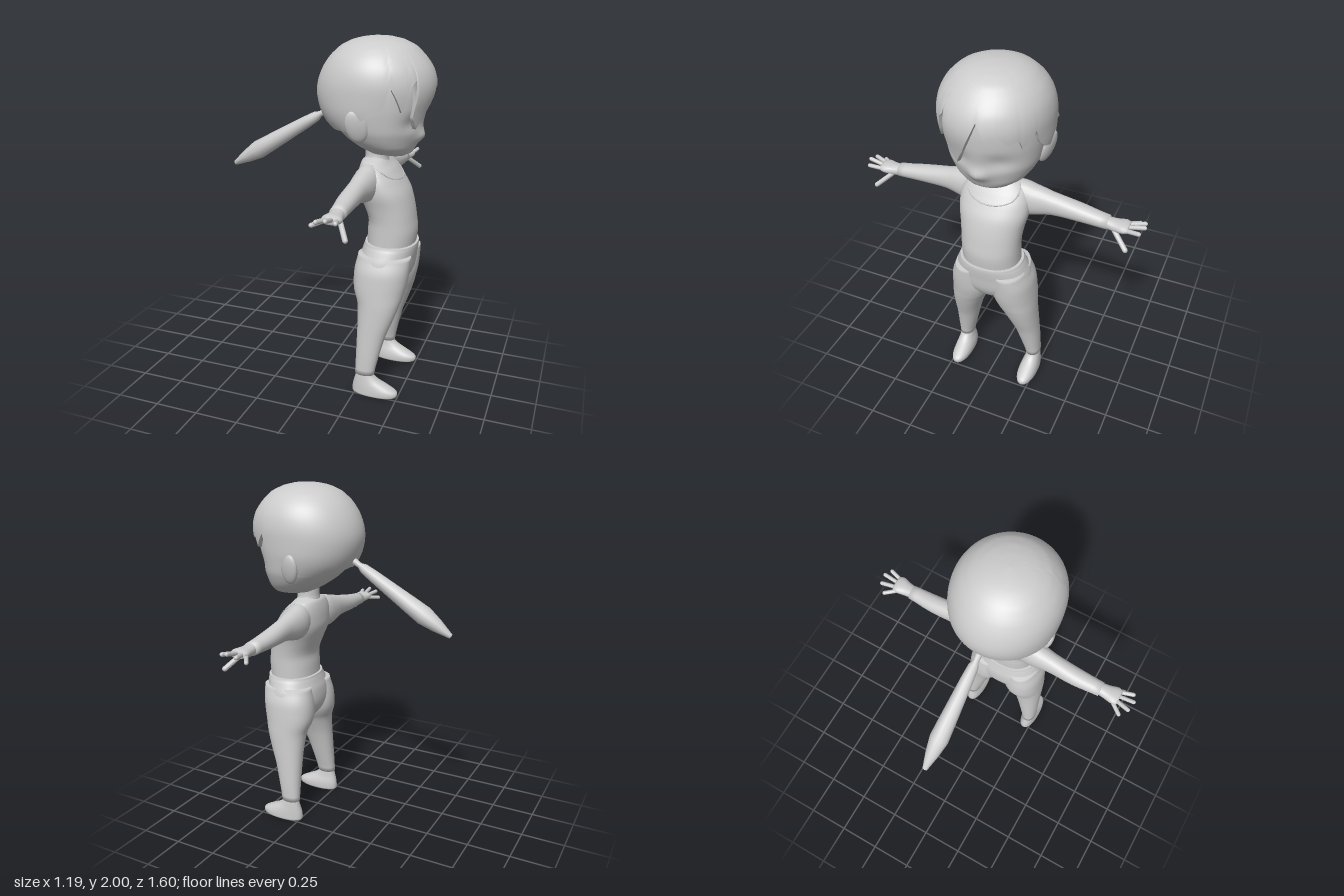
import * as THREE from 'three';

const mat = new THREE.MeshStandardMaterial({ color: 0xcccccc, side: THREE.DoubleSide });

function add(parent, name, geometry) {
  const mesh = new THREE.Mesh(geometry, mat);
  mesh.name = name;
  parent.add(mesh);
  return mesh;
}

// Sections are rows [y, x0, x1, z0, z1]; sym() makes them symmetric in z.
const sym = rows => rows.map(([y, x0, x1, w]) => [y, x0, x1, -w, w]);

// Catmull-Rom value between b and c.
function spline(a, b, c, d, t) {
  const cubic = 3 * (b - c) + d - a;
  const square = 2 * a - 5 * b + 4 * c - d;
  return b + 0.5 * t * (c - a + t * (square + t * cubic));
}

// Smooth subdivision of the section rows.
function refine(rows, steps = 4) {
  const out = [], last = rows.length - 1;
  for (let i = 0; i < last; i++) {
    const a = rows[Math.max(i - 1, 0)], b = rows[i], c = rows[i + 1], d = rows[Math.min(i + 2, last)];
    for (let s = 0; s < steps; s++) {
      const t = s / steps;
      out.push(b.map((v, k) => (k ? spline(a[k], v, c[k], d[k], t) : v + (c[0] - v) * t)));
    }
  }
  out.push(rows[last]);
  return out;
}

// Point on a section at angle a (0 = +x), slightly squared by the power p.
function onSection([y, x0, x1, z0, z1], a, p = 2) {
  const f = v => Math.sign(v) * Math.pow(Math.abs(v), 2 / p);
  return new THREE.Vector3(
    (x0 + x1) / 2 + (x1 - x0) / 2 * f(Math.cos(a)), y,
    (z0 + z1) / 2 + (z1 - z0) / 2 * f(Math.sin(a)));
}

function sectionAt(rows, y) {
  let i = 0;
  while (i < rows.length - 2 && rows[i + 1][0] < y) i++;
  const t = THREE.MathUtils.clamp((y - rows[i][0]) / (rows[i + 1][0] - rows[i][0]), 0, 1);
  return rows[i].map((v, k) => (k ? v + (rows[i + 1][k] - v) * t : y));
}

// Skin over closed rings of points, bottom ring first.
function skin(rings, caps = true) {
  const n = rings[0].length, pos = [], idx = [];
  rings.forEach(r => r.forEach(v => pos.push(v.x, v.y, v.z)));
  for (let i = 0; i < rings.length - 1; i++) for (let j = 0; j < n; j++) {
    const a = i * n + j, b = i * n + (j + 1) % n;
    idx.push(a, a + n, b, b, a + n, b + n);
  }
  if (caps) [0, rings.length - 1].forEach((r, top) => {
    const c = rings[r].reduce((s, v) => s.add(v), new THREE.Vector3()).divideScalar(n), ci = pos.length / 3;
    pos.push(c.x, c.y, c.z);
    for (let j = 0; j < n; j++) {
      const a = r * n + j, b = r * n + (j + 1) % n;
      if (top) idx.push(ci, b, a); else idx.push(ci, a, b);
    }
  });
  const g = new THREE.BufferGeometry();
  g.setAttribute('position', new THREE.Float32BufferAttribute(pos, 3));
  g.setIndex(idx);
  g.computeVertexNormals();
  return g;
}

function loft(rows, p = 2, n = 32, rule = v => v) {
  const ring = s => Array.from({ length: n }, (_, j) => rule(onSection(s, j / n * Math.PI * 2, p)));
  return skin(refine(rows).map(ring));
}

// Face: eye hollows and a small nose pushed into the head skin.
function faceRule(v) {
  if (v.x < 0.3) return v;
  const bump = (y, z, sy, sz) => Math.exp(-Math.pow((v.y - y) / sy, 2) - Math.pow((v.z - z) / sz, 2));
  v.x += 0.03 * bump(1.485, 0, 0.035, 0.05) - 0.02 * (bump(1.57, 0.11, 0.05, 0.07) + bump(1.57, -0.11, 0.05, 0.07));
  return v;
}

function rod(parent, name, from, to, r) {
  const a = new THREE.Vector3(...from), b = new THREE.Vector3(...to), d = b.clone().sub(a);
  const m = add(parent, name, new THREE.CapsuleGeometry(r, d.length() - r, 4, 8));
  m.position.copy(a).add(b).multiplyScalar(0.5);
  m.quaternion.setFromUnitVectors(new THREE.Vector3(0, 1, 0), d.normalize());
}

// Hair cap with a jagged fringe: hem is a list of [angle in degrees, y].
function addHair(parent) {
  const rows = refine(sym([[1.48, 0.1, 0.53, 0.235], [1.52, 0.04, 0.54, 0.255], [1.56, 0, 0.55, 0.27], [1.62, -0.03, 0.565, 0.285],
    [1.7, -0.048, 0.59, 0.29], [1.77, -0.04, 0.594, 0.29], [1.84, -0.012, 0.573, 0.275], [1.9, 0.03, 0.53, 0.242],
    [1.95, 0.085, 0.478, 0.19], [1.98, 0.148, 0.415, 0.13], [1.995, 0.215, 0.35, 0.065], [2, 0.28, 0.28, 0]]));
  const hem = [[-180, 1.55], [-140, 1.52], [-110, 1.53], [-95, 1.58], [-76, 1.62], [-69, 1.655], [-64, 1.74], [-49, 1.66],
    [-46, 1.715], [-36, 1.7], [-25, 1.75], [-24, 1.72], [-12.5, 1.75], [-6, 1.815], [1, 1.735], [11.5, 1.63], [24, 1.54],
    [33, 1.61], [34, 1.68], [35, 1.8], [42, 1.77], [48, 1.64], [55, 1.7], [62, 1.76], [66, 1.66], [78, 1.62], [95, 1.58],
    [110, 1.53], [140, 1.52], [180, 1.55]];
  const edge = [];
  for (let i = 0; i < hem.length - 1; i++) {
    const [a, y] = hem[i], [b, w] = hem[i + 1], n = Math.ceil((b - a) / 4);
    for (let k = 0; k < n; k++) edge.push([THREE.MathUtils.degToRad(a + (b - a) * k / n), y + (w - y) * k / n]);
  }
  const rings = [];
  for (let v = 24; v >= 0; v--) {
    const drop = 1 - Math.cos(v / 24 * Math.PI / 2);
    rings.push(edge.map(([a, y]) => onSection(sectionAt(rows, 2 - (2 - y) * drop), a)));
  }
  const rim = rings[0].map(v => v.clone().lerp(new THREE.Vector3(0.27, v.y, 0), 0.14));
  add(parent, 'hair', skin(rings, false));
  add(parent, 'hairRim', skin([rim, rings[0]], false));
}

export function createModel() {
  const model = new THREE.Group();
  model.name = 'figure';

  // Head
  add(model, 'head', loft(sym([[1.378, 0.31, 0.45, 0.07], [1.395, 0.245, 0.48, 0.13], [1.43, 0.185, 0.497, 0.182],
    [1.47, 0.125, 0.51, 0.213], [1.52, 0.07, 0.528, 0.238], [1.58, 0.03, 0.54, 0.252], [1.65, 0.005, 0.55, 0.262],
    [1.75, 0, 0.555, 0.262], [1.85, 0.04, 0.53, 0.235], [1.93, 0.13, 0.43, 0.14]]), 2.1, 64, faceRule));
  addHair(model);

  // Ponytail
  const tail = add(model, 'ponytail', new THREE.LatheGeometry(
    [[0, 0], [0.014, 0.004], [0.038, 0.1], [0.053, 0.185], [0.049, 0.27], [0.034, 0.54], [0.028, 0.61], [0.016, 0.64], [0.02, 0.69]]
      .map(p => new THREE.Vector2(...p)), 12));
  tail.position.set(-0.593, 1.232, 0);
  tail.rotation.z = -Math.atan2(0.575, 0.35);

  // Neck, shirt and neckline
  add(model, 'neck', loft(sym([[1.27, 0.23, 0.37, 0.09], [1.34, 0.22, 0.352, 0.075], [1.37, 0.222, 0.35, 0.066], [1.43, 0.22, 0.36, 0.068]])));
  const shirt = sym([[0.85, 0.25, 0.515, 0.162], [0.95, 0.252, 0.524, 0.163], [1.02, 0.255, 0.515, 0.165], [1.1, 0.226, 0.5, 0.175],
    [1.18, 0.196, 0.474, 0.192], [1.25, 0.194, 0.43, 0.19], [1.3, 0.2, 0.39, 0.17], [1.34, 0.212, 0.35, 0.125], [1.362, 0.235, 0.335, 0.06]]);
  add(model, 'shirt', loft(shirt, 2.2, 40));
  const line = [[-80, 1.335], [-55, 1.3], [-38, 1.27], [-18, 1.253], [0, 1.247], [18, 1.253], [38, 1.27], [55, 1.3], [80, 1.335]]
    .map(([a, y]) => onSection(sectionAt(refine(shirt), y), THREE.MathUtils.degToRad(a), 2.2));
  add(model, 'neckline', new THREE.TubeGeometry(new THREE.CatmullRomCurve3(line), 40, 0.004, 5));

  // Hips, slightly wider than the shirt at the waist
  add(model, 'hips', loft(sym([[0.585, 0.31, 0.4, 0.03], [0.61, 0.27, 0.43, 0.09], [0.66, 0.23, 0.48, 0.17], [0.72, 0.212, 0.51, 0.222],
    [0.8, 0.215, 0.522, 0.213], [0.86, 0.233, 0.53, 0.188], [0.885, 0.24, 0.53, 0.176]]), 2.2, 40));

  // Limbs, modelled on the +z side and mirrored
  for (const side of [1, -1]) {
    const half = new THREE.Group();
    half.name = side > 0 ? 'rightSide' : 'leftSide';
    half.scale.z = side;
    model.add(half);

    add(half, 'trouserLeg', loft([[0.13, 0.25, 0.362, 0.178, 0.262], [0.25, 0.25, 0.385, 0.15, 0.261], [0.36, 0.249, 0.412, 0.122, 0.257],
      [0.45, 0.247, 0.445, 0.094, 0.254], [0.55, 0.238, 0.478, 0.052, 0.25], [0.62, 0.212, 0.497, 0.015, 0.245],
      [0.68, 0.205, 0.51, 0, 0.24], [0.75, 0.21, 0.518, 0.005, 0.23], [0.83, 0.225, 0.522, 0.02, 0.2]], 2.2));

    add(half, 'foot', loft([[0, 0.245, 0.48, 0.172, 0.262], [0.008, 0.235, 0.497, 0.164, 0.27], [0.035, 0.234, 0.497, 0.163, 0.27],
      [0.06, 0.238, 0.455, 0.168, 0.267], [0.09, 0.246, 0.395, 0.178, 0.262], [0.12, 0.254, 0.36, 0.184, 0.258],
      [0.15, 0.26, 0.35, 0.188, 0.254]], 2.2));

    // Arm and palm: their sections run along z, so the lofts are laid over
    const arm = add(half, 'arm', loft([[0.08, 0.215, 0.34, -1.335, -1.16], [0.14, 0.205, 0.345, -1.337, -1.14],
      [0.2, 0.206, 0.338, -1.322, -1.145], [0.3, 0.215, 0.322, -1.297, -1.168], [0.45, 0.215, 0.317, -1.268, -1.171],
      [0.605, 0.231, 0.315, -1.244, -1.171]], 2.1, 24));
    const palm = add(half, 'palm', loft([[0.59, 0.24, 0.31, -1.238, -1.178], [0.64, 0.235, 0.318, -1.234, -1.175],
      [0.69, 0.225, 0.33, -1.234, -1.184], [0.715, 0.232, 0.322, -1.228, -1.19]], 2.2, 20));
    arm.rotation.x = palm.rotation.x = Math.PI / 2;

    // Fingers as [base, tip]
    const fingers = [[[0.24, 1.2, 0.69], [0.193, 1.19, 0.755]], [[0.255, 1.21, 0.7], [0.23, 1.222, 0.788]],
      [[0.282, 1.212, 0.7], [0.282, 1.235, 0.796]], [[0.308, 1.208, 0.7], [0.327, 1.222, 0.778]]];
    fingers.forEach(([base, tip]) => rod(half, 'finger', base, tip, 0.012));
    rod(half, 'thumb', [0.3, 1.19, 0.64], [0.358, 1.12, 0.725], 0.014);

    // Ear
    const ear = add(half, 'ear', new THREE.SphereGeometry(1, 24, 16));
    ear.scale.set(0.058, 0.09, 0.025);
    ear.position.set(0.248, 1.562, 0.257);
    ear.rotation.set(0.22, 0.25, 0.2);
  }
  return model;
}
